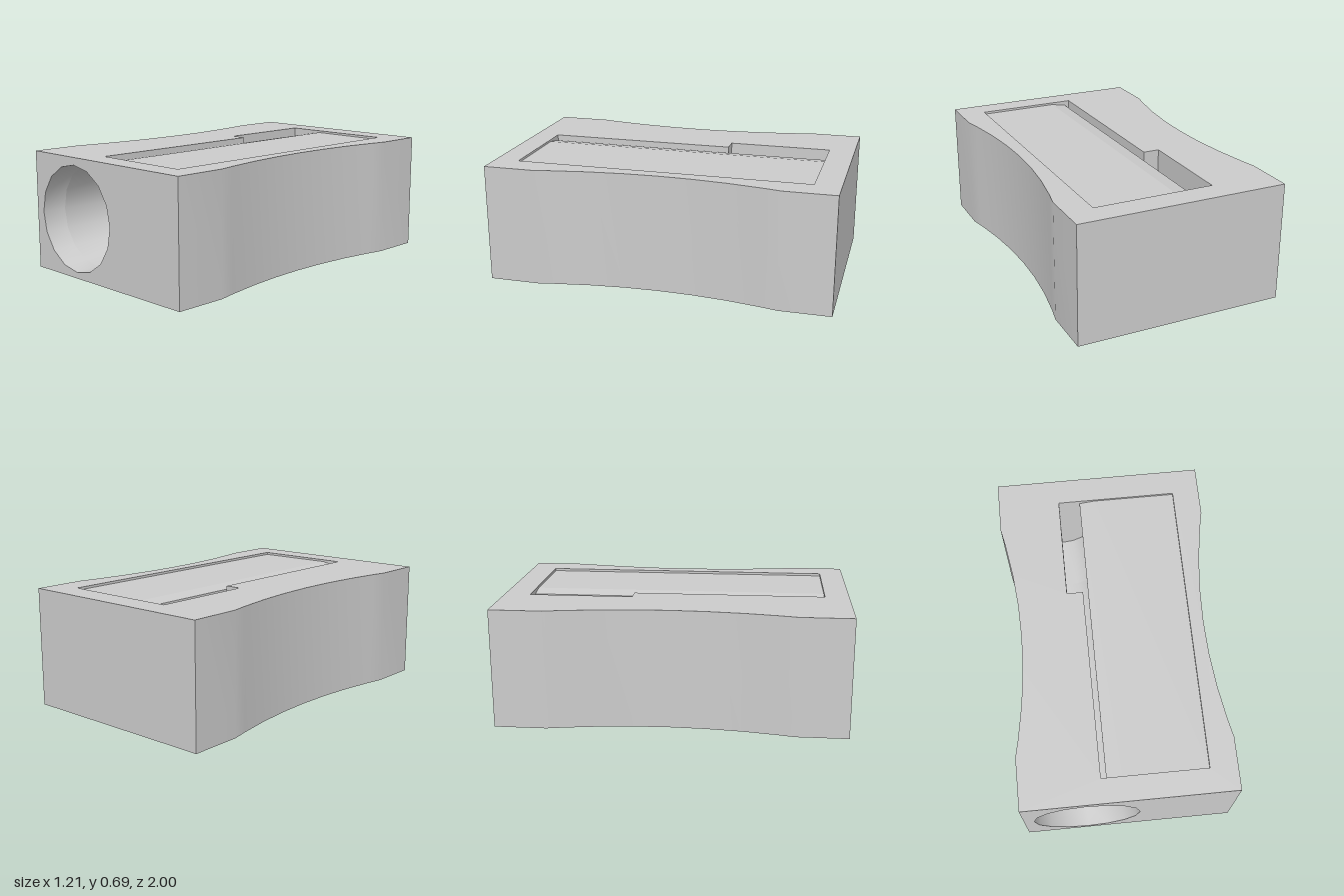
import * as THREE from 'three';

const H = 0.688, W = 0.607;              // body height and half width
const CX = -0.245, CY = 0.34;            // axis of the conical hole
const FLOOR = 0.455, RIGHT = 0.45;       // pocket floor and right wall
const FRONT = 0.86, STEP = -0.25, BACK = -0.85; // pocket ends and notch start
const SLOT = -0.15, NOTCH = CX;          // left walls of slot and notch

const mat = new THREE.MeshStandardMaterial({ color: 0xcccccc });
const inner = new THREE.MeshStandardMaterial({ color: 0xcccccc, side: THREE.DoubleSide });

const radius = (z) => 0.305 - 0.0685 * (1 - z);
const v2 = (x, y) => new THREE.Vector2(x, y);

// Points around the cone at depth z, counter-clockwise over the given angles
function ring(z, angles) {
  const r = radius(z);
  return angles.map((a) => [CX + r * Math.cos(a), CY + r * Math.sin(a), z]);
}

// The part of the ring left after the pocket is cut away, from left wall to floor
function openRing(z, wallX) {
  const r = radius(z), angles = [Math.acos((wallX - CX) / r)];
  for (let k = 4; k <= 17; k++) angles.push((k * Math.PI) / 8);
  angles.push(2 * Math.PI + Math.asin((FLOOR - CY) / r));
  return ring(z, angles);
}

// Smooth surface between two rows of points
function strip(a, b) {
  const n = a.length, index = [];
  for (let i = 0; i < n - 1; i++) index.push(i, i + 1, n + i, i + 1, n + i + 1, n + i);
  const g = new THREE.BufferGeometry();
  g.setAttribute('position', new THREE.Float32BufferAttribute([...a, ...b].flat(), 3));
  g.setIndex(index);
  g.computeVertexNormals();
  return g;
}

export function createModel() {
  const model = new THREE.Group();
  const body = new THREE.Group();
  body.name = 'body';
  const pocket = new THREE.Group();
  pocket.name = 'bladePocket';
  model.add(body, pocket);
  const add = (parent, name, geometry, material = mat) => {
    const mesh = new THREE.Mesh(geometry, material);
    mesh.name = name;
    parent.add(mesh);
    return mesh;
  };

  // Waisted sides
  const zs = [1, 0.7, 0.6, 0.4, 0.2, 0, -0.2, -0.4, -0.6, -0.7, -1];
  const halfWidth = (z) => (Math.abs(z) >= 0.7 ? W : 0.527 + 0.08 * (z / 0.7) ** 2);
  const side = (s, y) => zs.map((z) => [s * halfWidth(z), y, s * z]);
  for (const [s, name] of [[1, 'leftSide'], [-1, 'rightSide']]) {
    add(body, name, strip(side(s, 0), side(s, H)));
  }

  // Bottom, and top with the pocket opening
  const outline = [...side(1, 0), ...side(-1, 0)].map(([x, , z]) => v2(x, -z));
  add(body, 'bottom', new THREE.ShapeGeometry(new THREE.Shape(outline)).rotateX(Math.PI / 2));
  const top = new THREE.Shape(outline);
  top.holes.push(new THREE.Path([
    v2(SLOT, -FRONT), v2(SLOT, -STEP), v2(NOTCH, -STEP),
    v2(NOTCH, -BACK), v2(RIGHT, -BACK), v2(RIGHT, -FRONT),
  ]));
  add(body, 'top', new THREE.ShapeGeometry(top).rotateX(-Math.PI / 2).translate(0, H, 0));

  // Front with the pencil opening, and plain back
  const rect = [v2(-W, 0), v2(W, 0), v2(W, H), v2(-W, H)];
  const circle = Array.from({ length: 17 }, (_, k) => (k * Math.PI) / 8);
  const front = new THREE.Shape(rect);
  front.holes.push(new THREE.Path(ring(1, circle).slice(0, 16).map(([x, y]) => v2(x, y))));
  add(body, 'front', new THREE.ShapeGeometry(front).translate(0, 0, 1));
  add(body, 'back', new THREE.ShapeGeometry(new THREE.Shape(rect)).rotateY(Math.PI).translate(0, 0, -1));

  // Conical hole: a full ring at the mouth, then open where the pocket cuts in
  const slotZ = [FRONT, 0.5, 0.1, STEP], notchZ = [STEP, -0.55, BACK];
  add(body, 'pencilHoleMouth', strip(ring(1, circle), ring(FRONT, circle)), inner);
  for (const [list, wallX] of [[slotZ, SLOT], [notchZ, NOTCH]]) {
    const rings = list.map((z) => openRing(z, wallX));
    for (let i = 0; i < rings.length - 1; i++) {
      add(body, 'pencilHole', strip(rings[i], rings[i + 1]), inner);
    }
    // Left pocket wall above the cone, and pocket floor beside it
    const edge = rings.map((r) => r[0]), rim = rings.map((r) => r.at(-1));
    add(pocket, 'leftWall', strip(edge, edge.map(([x, , z]) => [x, H, z])), inner);
    add(pocket, 'floor', strip(rim.map(([, y, z]) => [RIGHT, y, z]), rim), inner);
  }

  // Wall of the notch step
  const a = openRing(STEP, NOTCH)[0], b = openRing(STEP, SLOT)[0];
  add(pocket, 'notchWall', strip([[a[0], H, STEP], [b[0], H, STEP]], [a, b]), inner);

  // Right wall
  add(pocket, 'rightWall', strip(
    [[RIGHT, FLOOR, BACK], [RIGHT, FLOOR, FRONT]],
    [[RIGHT, H, BACK], [RIGHT, H, FRONT]]), inner);

  // Back wall joined with the end of the cone
  const end = openRing(BACK, NOTCH).map(([x, y]) => v2(x, y));
  end.push(v2(RIGHT, FLOOR), v2(RIGHT, H), v2(NOTCH, H));
  add(pocket, 'backWall', new THREE.ShapeGeometry(new THREE.Shape(end)).translate(0, 0, BACK), inner);

  // Front wall outside the cone
  const arc = [];
  const r = radius(FRONT);
  const a0 = Math.acos((SLOT - CX) / r), a1 = Math.asin((FLOOR - CY) / r);
  for (const t of [a0, (3 * Math.PI) / 8, Math.PI / 4, a1].filter((t) => t <= a0)) arc.push(t);
  const frontWall = ring(FRONT, arc).map(([x, y]) => v2(x, y));
  frontWall.push(v2(RIGHT, FLOOR), v2(RIGHT, H), v2(SLOT, H));
  add(pocket, 'frontWall', new THREE.ShapeGeometry(new THREE.Shape(frontWall)).translate(0, 0, FRONT), inner);

  // Thin blade with a bevelled cutting edge
  const blade = new THREE.Shape([
    v2(-0.12, 0.65), v2(RIGHT, 0.65), v2(RIGHT, 0.674), v2(-0.03, 0.676), v2(-0.12, 0.66),
  ]);
  add(model, 'blade', new THREE.ExtrudeGeometry(blade, { depth: FRONT - BACK, bevelEnabled: false })
    .translate(0, 0, BACK));

  return model;
}
